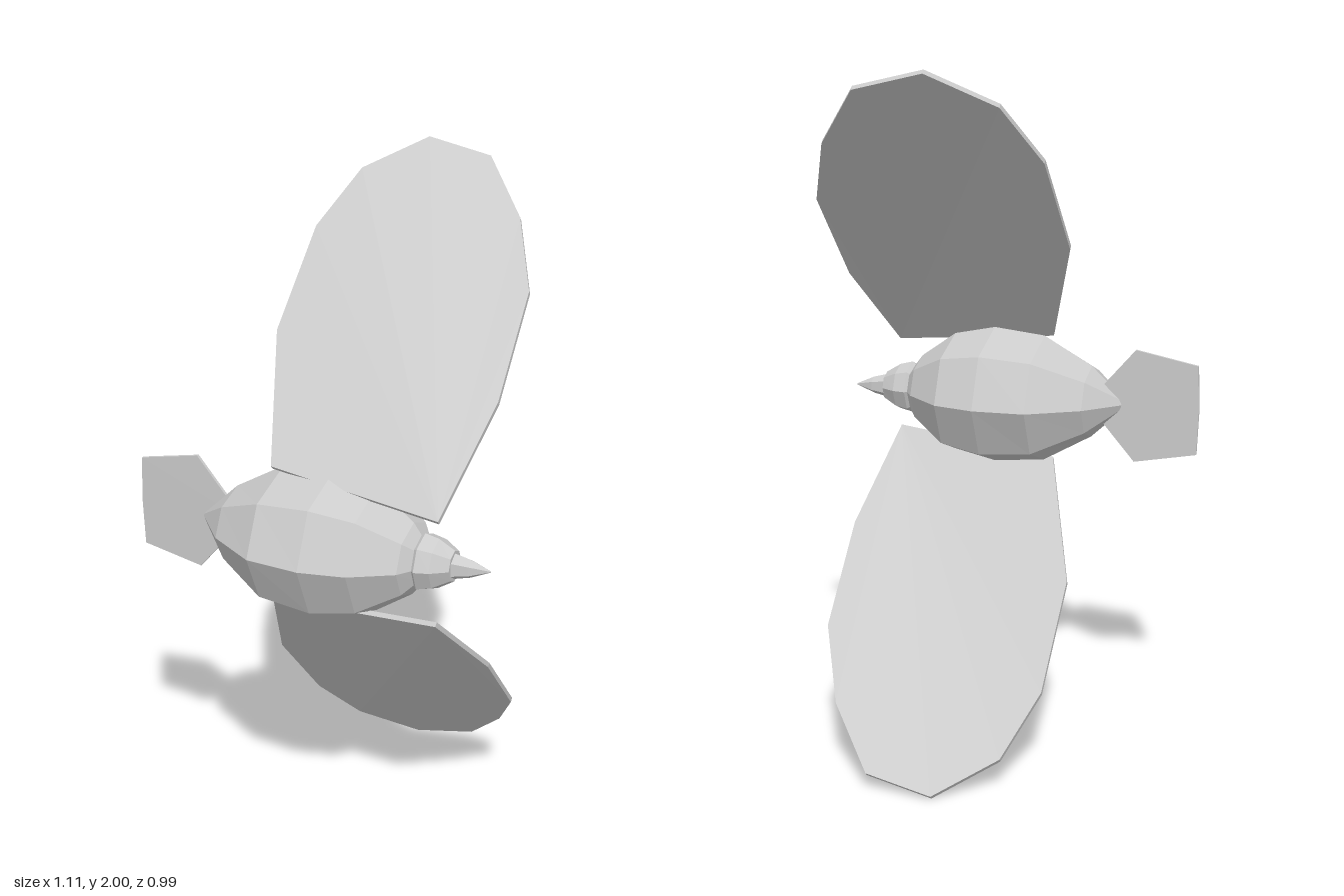
import * as THREE from 'three';

const material = new THREE.MeshStandardMaterial({ color: 0xcccccc, flatShading: true });

function meshFrom(name, triangles) {
  const geometry = new THREE.BufferGeometry();
  geometry.setAttribute('position', new THREE.Float32BufferAttribute(triangles.flat(), 3));
  geometry.computeVertexNormals();
  const mesh = new THREE.Mesh(geometry, material);
  mesh.name = name;
  return mesh;
}

// Faceted solid along x; each section is [x, centre z, y radius, z radius]
function loft(name, sections, sides) {
  const rings = sections.map(([x, z, ry, rz]) =>
    Array.from({ length: sides }, (_, i) => {
      const a = (i / sides) * Math.PI * 2;
      return [x, 1 + Math.cos(a) * ry, z + Math.sin(a) * rz];
    }));
  const tris = [];
  for (let s = 0; s < rings.length - 1; s++) {
    for (let i = 0; i < sides; i++) {
      const j = (i + 1) % sides;
      const [a, b, c, d] = [rings[s][i], rings[s][j], rings[s + 1][j], rings[s + 1][i]];
      tris.push(a, b, c, a, c, d);
    }
  }
  // End caps
  const first = rings[0], last = rings[rings.length - 1];
  for (let i = 1; i < sides - 1; i++) {
    tris.push(first[0], first[i + 1], first[i], last[0], last[i], last[i + 1]);
  }
  return meshFrom(name, tris);
}

// Thin plate fanned from its first point; points run anticlockwise seen from along offset
function plate(name, points, offset) {
  const shift = (k) => points.map((p) => p.map((v, i) => v + k * offset[i]));
  const front = shift(1), back = shift(-1);
  const tris = [];
  for (let i = 1; i < points.length - 1; i++) {
    tris.push(front[0], front[i], front[i + 1], back[0], back[i + 1], back[i]);
  }
  for (let i = 0; i < points.length; i++) {
    const j = (i + 1) % points.length;
    tris.push(front[i], back[i], back[j], front[i], back[j], front[j]);
  }
  return meshFrom(name, tris);
}

export function createModel() {
  const bird = new THREE.Group();
  bird.name = 'bird';

  bird.add(loft('body', [
    [-0.33, 0.243, 0.008, 0.01],
    [-0.22, 0.247, 0.11, 0.135],
    [-0.07, 0.25, 0.195, 0.23],
    [0.09, 0.256, 0.212, 0.241],
    [0.22, 0.262, 0.185, 0.209],
    [0.335, 0.28, 0.105, 0.12],
    [0.37, 0.284, 0.06, 0.065],
  ], 8));

  bird.add(loft('head', [
    [0.355, 0.284, 0.07, 0.07],
    [0.37, 0.284, 0.082, 0.085],
    [0.41, 0.282, 0.072, 0.075],
    [0.455, 0.28, 0.045, 0.045],
  ], 8));

  bird.add(loft('beak', [
    [0.44, 0.28, 0.04, 0.04],
    [0.46, 0.28, 0.036, 0.034],
    [0.5, 0.278, 0.026, 0.026],
    [0.555, 0.275, 0.002, 0.002],
  ], 6));

  // Wings: slightly dished, fanned from the shoulder and mirrored across the body
  const wing = [
    [0.433, 1.147, 0.351], [0.485, 1.395, 0.06], [0.474, 1.64, -0.197], [0.382, 1.807, -0.367],
    [0.245, 1.953, -0.488], [0.05, 1.995, -0.492], [-0.12, 1.908, -0.385],
    [-0.2, 1.757, -0.237], [-0.212, 1.5, 0], [-0.092, 1.196, 0.281],
  ];
  const mirrored = wing.map(([x, y, z]) => [x, 2 - y, z]);
  bird.add(plate('upperWing', wing, [0, 0.005, 0.005]));
  bird.add(plate('lowerWing', [mirrored[0], ...mirrored.slice(1).reverse()], [0, -0.005, 0.005]));

  bird.add(plate('tail', [
    [-0.21, 1, 0.23], [-0.36, 1.172, 0.224], [-0.55, 1.135, 0.218],
    [-0.555, 1, 0.218], [-0.55, 0.865, 0.218], [-0.36, 0.828, 0.224],
  ], [0, 0, 0.005]));

  return bird;
}
